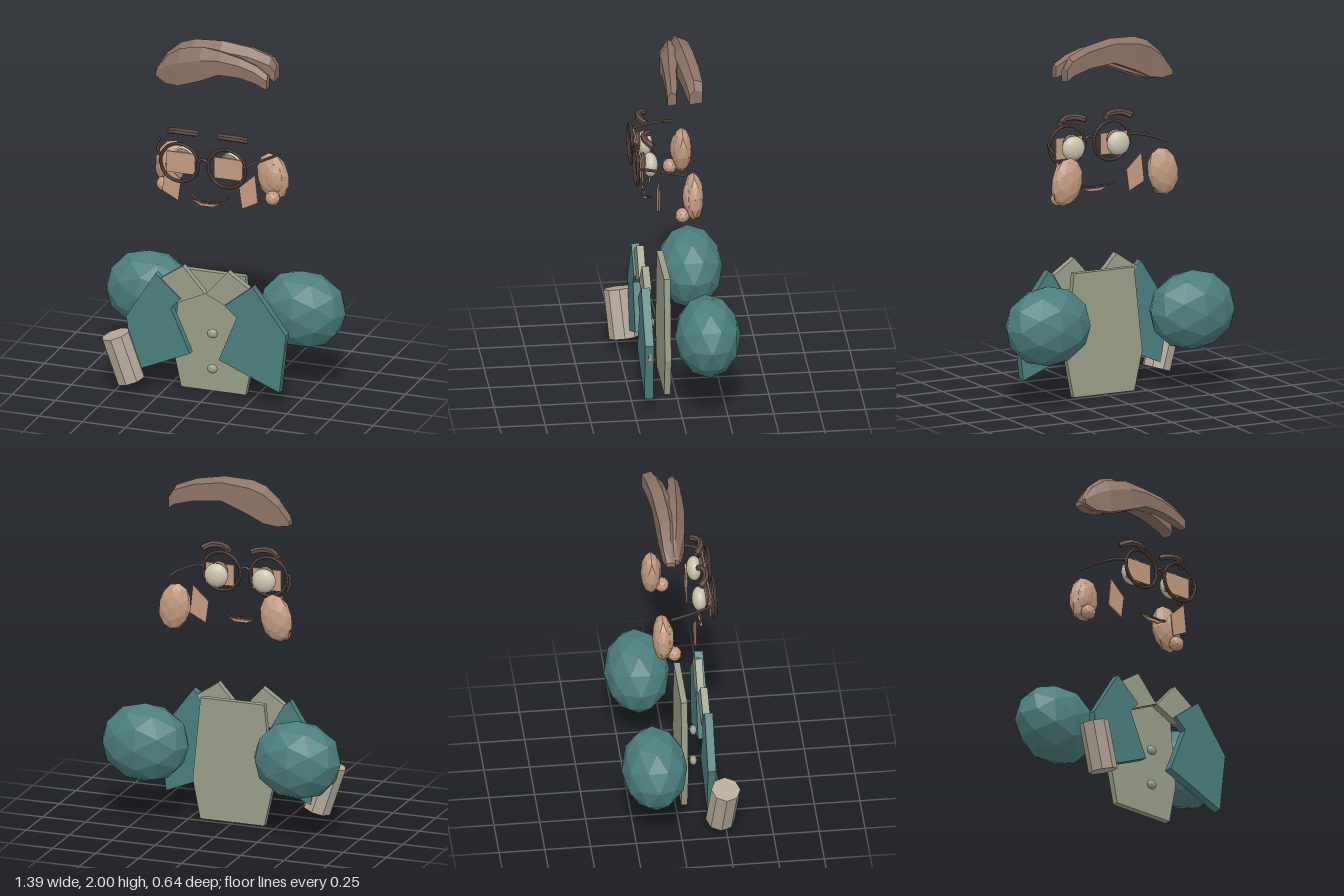
import * as THREE from 'three';

const mat = (name, color, extra = {}) => {
  const m = new THREE.MeshStandardMaterial({ color, flatShading: true, ...extra });
  m.name = name;
  return m;
};

export function createModel() {
  const root = new THREE.Group();
  root.name = 'figure';
  const teal = mat('teal cloth', 0x4b7e7d);
  const shirt = mat('sage cloth', 0x999e88);
  const hair = mat('hair brown', 0x8d7365);
  const dark = mat('dark brown', 0x604b45);
  const skin = mat('skin', 0xc39b80);
  const cuffMat = mat('beige', 0xb5a999);
  const ivory = mat('ivory', 0xcbc4ae);

  const add = (name, geo, material, pos = [0, 0, 0]) => {
    const m = new THREE.Mesh(geo, material);
    m.name = name;
    m.position.set(...pos);
    root.add(m);
    return m;
  };
  // Faceted ellipsoid
  const blob = (name, material, pos, radii, detail = 1, tilt = 0) => {
    const m = add(name, new THREE.IcosahedronGeometry(1, detail), material, pos);
    m.scale.set(...radii);
    m.rotation.z = tilt;
    return m;
  };
  // Flat outline in x/y extruded from z0 to z1
  const plate = (name, material, pts, z0, z1) => {
    const s = new THREE.Shape(pts.map(([x, y]) => new THREE.Vector2(x, y)));
    return add(name, new THREE.ExtrudeGeometry(s, { depth: z1 - z0, bevelEnabled: false }), material, [0, 0, z0]);
  };
  // Tube with flat end caps
  const rod = (name, material, pts, r, segs = 12, sides = 6) => {
    const path = new THREE.CatmullRomCurve3(pts.map(p => new THREE.Vector3(...p)));
    add(name, new THREE.TubeGeometry(path, segs, r, sides), material);
    for (const t of [0, 1]) {
      const cap = add(name + 'End', new THREE.CircleGeometry(r, sides), material, path.getPointAt(t).toArray());
      const dir = path.getTangentAt(t).multiplyScalar(t ? 1 : -1);
      cap.quaternion.setFromUnitVectors(new THREE.Vector3(0, 0, 1), dir);
    }
  };
  // Lock of hair lofted along x: rows of [x, top, bottom, front, back]
  const lock = (name, rows) => {
    const rings = rows.map(([x, t, b, f, k]) => {
      const h = t - b, m = f * 0.6 + k * 0.4;
      return [[x, b, f], [x, b + h * 0.65, f], [x, t, m], [x, b + h * 0.85, k], [x, b + h * 0.1, k]];
    });
    const v = [], n = 5;
    for (let i = 0; i + 1 < rings.length; i++) {
      for (let j = 0; j < n; j++) {
        const a = rings[i][j], b = rings[i][(j + 1) % n];
        const d = rings[i + 1][j], c = rings[i + 1][(j + 1) % n];
        v.push(...a, ...d, ...c, ...a, ...c, ...b);
      }
    }
    const first = rings[0], last = rings[rings.length - 1];
    for (let j = 1; j < n - 1; j++) {
      v.push(...first[0], ...first[j], ...first[j + 1]);
      v.push(...last[0], ...last[j + 1], ...last[j]);
    }
    const g = new THREE.BufferGeometry();
    g.setAttribute('position', new THREE.Float32BufferAttribute(v, 3));
    g.computeVertexNormals();
    return add(name, g, hair);
  };

  // Swept hair: two locks that part towards the left end
  lock('hairFront', [
    [-0.355, 1.80, 1.765, 0.0, -0.06],
    [-0.29, 1.89, 1.735, 0.02, -0.06],
    [-0.21, 1.945, 1.74, 0.045, -0.06],
    [-0.08, 1.975, 1.79, 0.06, -0.05],
    [0.03, 1.965, 1.84, 0.06, -0.03],
    [0.15, 1.945, 1.84, 0.06, -0.005],
    [0.24, 1.915, 1.82, 0.06, 0.0],
    [0.31, 1.87, 1.79, 0.06, 0.01],
  ]);
  lock('hairBack', [
    [-0.365, 1.79, 1.76, -0.02, -0.07],
    [-0.3, 1.895, 1.74, -0.01, -0.085],
    [-0.22, 1.965, 1.745, 0.0, -0.09],
    [-0.14, 1.993, 1.79, 0.0, -0.1],
    [0.015, 2.0, 1.86, -0.01, -0.11],
    [0.17, 1.975, 1.85, -0.03, -0.125],
    [0.285, 1.93, 1.82, -0.05, -0.135],
    [0.315, 1.88, 1.795, -0.06, -0.13],
  ]);

  // Parts mirrored on both sides
  for (const s of [-1, 1]) {
    const side = s > 0 ? 'left' : 'right';
    const outline = pts => pts.map(([x, y]) => [x * s, y]);

    // Brow, eye, iris and lid
    rod(side + 'Brow', dark, [[0.06 * s, 1.515, 0.135], [0.1 * s, 1.526, 0.165],
      [0.18 * s, 1.526, 0.165], [0.222 * s, 1.508, 0.13]], 0.018, 6);
    blob(side + 'Eye', ivory, [0.138 * s, 1.363, 0.135], [0.068, 0.068, 0.042], 3);
    blob(side + 'Iris', hair, [0.135 * s, 1.378, 0.172], [0.05, 0.056, 0.013], 2);
    plate(side + 'Lid', skin, outline([[0.055, 1.295], [0.22, 1.295], [0.22, 1.415], [0.055, 1.415]]), 0.184, 0.192);

    // Spectacle rim and temple
    add(side + 'Rim', new THREE.TorusGeometry(0.109, 0.01, 8, 32), dark, [0.137 * s, 1.365, 0.212]);
    rod(side + 'Temple', dark, [[0.245 * s, 1.388, 0.212], [0.27 * s, 1.395, 0.175],
      [0.325 * s, 1.395, 0.05], [0.348 * s, 1.385, -0.045]], 0.009, 12);

    // Ear with inner fold and lobe
    blob(side + 'Ear', skin, [0.295 * s, 1.235, -0.085], [0.092, 0.135, 0.055], 1, 0.2 * s);
    blob(side + 'EarFold', skin, [0.31 * s, 1.24, -0.06], [0.055, 0.09, 0.038], 1, 0.2 * s);
    blob(side + 'EarLobe', skin, [0.315 * s, 1.133, -0.022], [0.042, 0.042, 0.04], 1);

    // Cheek
    plate(side + 'Cheek', skin, outline([[0.26, 1.305], [0.168, 1.22], [0.185, 1.098], [0.277, 1.145]]), 0.097, 0.105);

    // Shoulder and collar
    blob(side + 'Shoulder', teal, [0.443 * s, 0.46, -0.145], [0.25, 0.222, 0.18], 1);
    plate(side + 'Collar', shirt, outline([[0.13, 0.75], [0.002, 0.605], [0.175, 0.525], [0.255, 0.665]]), 0.14, 0.18);
  }

  // Bridge of the spectacles
  rod('bridge', dark, [[-0.032, 1.385, 0.212], [0, 1.4, 0.215], [0.032, 1.385, 0.212]], 0.009, 8);

  // Mouth and lower lip
  rod('mouth', dark, [[-0.11, 1.157, 0.12], [-0.055, 1.135, 0.145], [0, 1.129, 0.16],
    [0.055, 1.135, 0.145], [0.11, 1.157, 0.12]], 0.007, 12);
  plate('lowerLip', skin, [[-0.08, 1.132], [-0.035, 1.108], [0.035, 1.108], [0.08, 1.132],
    [0.035, 1.122], [-0.035, 1.122]], 0.145, 0.16);

  // Shirt panel and buttons
  plate('shirtPanel', shirt, [[-0.182, 0], [0.192, 0], [0.235, 0.22], [0.19, 0.69], [-0.18, 0.69], [-0.23, 0.22]], 0.03, 0.065);
  for (const y of [0.355, 0.15]) blob('button', shirt, [0.018, y, 0.118], [0.03, 0.027, 0.02], 2);

  // Jacket fronts
  plate('rightJacket', teal, [[-0.285, 0.69], [-0.455, 0.42], [-0.405, 0.11], [-0.085, 0.25],
    [-0.195, 0.5], [-0.14, 0.56]], 0.147, 0.192);
  plate('leftJacket', teal, [[0.28, 0.69], [0.12, 0.56], [0.19, 0.5], [0.085, 0.24],
    [0.437, 0.095], [0.475, 0.43]], 0.152, 0.2);
  // Sliver of hand at the jacket edge
  const hand = add('leftHand', new THREE.BoxGeometry(0.008, 0.045, 0.016), skin, [0.4655, 0.36, 0.172]);
  hand.rotation.z = -0.113;

  // Tilted cuff
  const top = new THREE.Vector3(-0.498, 0.325, 0.24), low = new THREE.Vector3(-0.415, 0.065, 0.218);
  const cuff = add('cuff', new THREE.CylinderGeometry(0.08, 0.08, top.distanceTo(low), 8), cuffMat,
    top.clone().add(low).multiplyScalar(0.5).toArray());
  cuff.quaternion.setFromUnitVectors(new THREE.Vector3(0, 1, 0), top.clone().sub(low).normalize());

  return root;
}
